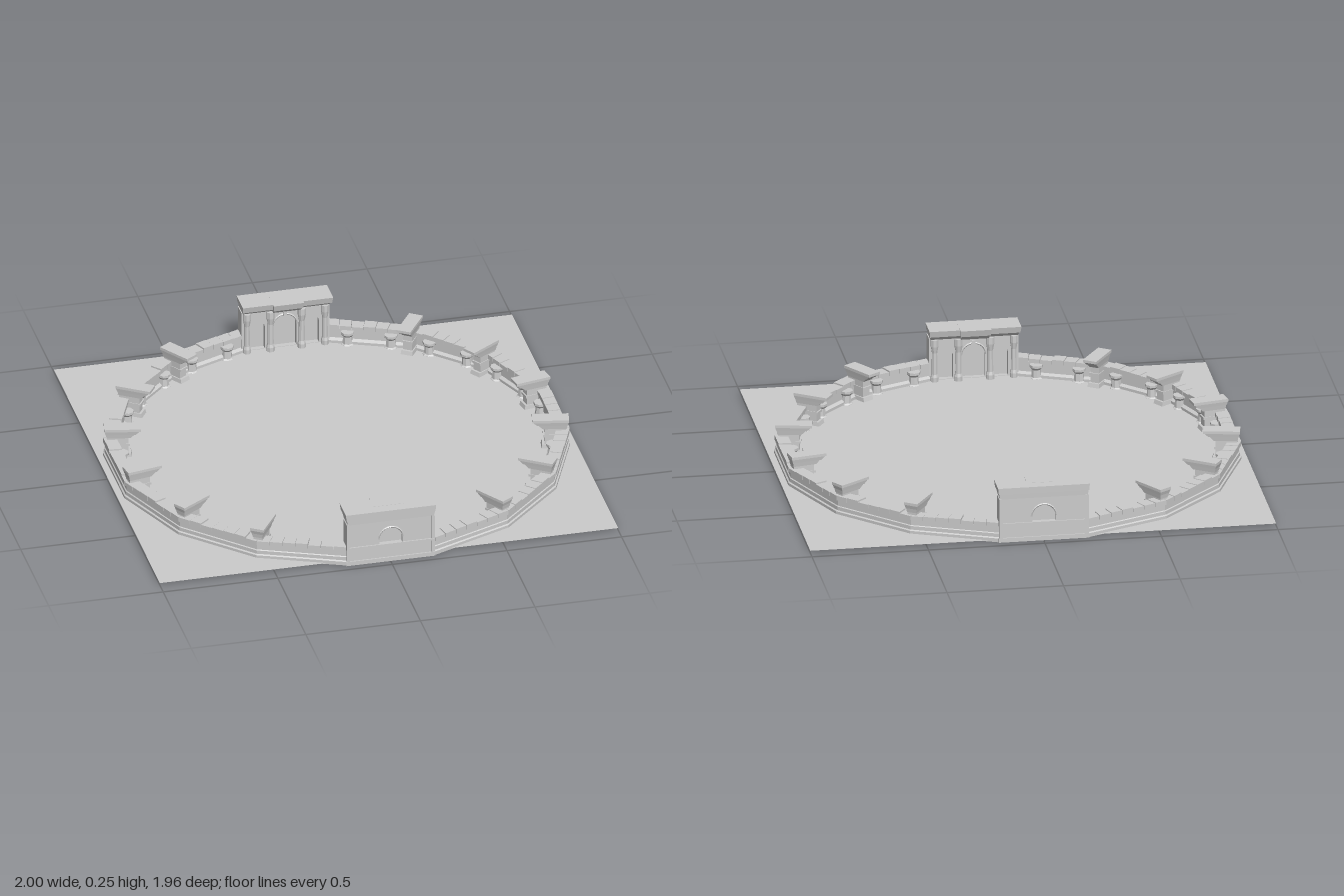
import * as THREE from 'three';

const stone = new THREE.MeshStandardMaterial({ color: 0xcccccc, flatShading: true });
const floorMat = new THREE.MeshStandardMaterial({ color: 0xcccccc, side: THREE.DoubleSide });
const STEP = Math.PI / 8;            // the ring has sixteen sides
const SLOPE = 2 * Math.tan(STEP / 2); // side length per unit of apothem

function add(parent, name, geometry, x = 0, y = 0, z = 0) {
  const mesh = new THREE.Mesh(geometry, stone);
  mesh.name = name;
  mesh.position.set(x, y, z);
  parent.add(mesh);
  return mesh;
}

function group(parent, name, angle = 0) {
  const g = new THREE.Group();
  g.name = name;
  g.rotation.y = angle;
  parent.add(g);
  return g;
}

// Block whose bottom and top rectangles differ: [width, zInner, zOuter]
function block(parent, name, y0, y1, bottom, top = bottom, x = 0) {
  const geo = new THREE.BoxGeometry(1, 1, 1);
  const p = geo.attributes.position;
  for (let i = 0; i < p.count; i++) {
    const up = p.getY(i) > 0;
    const [w, zi, zo] = up ? top : bottom;
    p.setXYZ(i, p.getX(i) * w, up ? y1 : y0, p.getZ(i) > 0 ? zo : zi);
  }
  geo.computeVertexNormals();
  return add(parent, name, geo, x);
}

// Cross-section [apothem, y] swept along one side of the ring with mitred ends
function sweep(parent, name, profile, t0 = -0.5, t1 = 0.5) {
  const shape = new THREE.Shape(profile.map(([r, y]) => new THREE.Vector2(r, y)));
  const geo = new THREE.ExtrudeGeometry(shape, { depth: t1 - t0, bevelEnabled: false });
  const p = geo.attributes.position;
  for (let i = 0; i < p.count; i++) {
    const r = p.getX(i);
    p.setXYZ(i, -(p.getZ(i) + t0) * r * SLOPE, p.getY(i), r);
  }
  geo.computeVertexNormals();
  add(parent, name, geo);
}

// Octagonal column with a plinth and flared capital
function column(parent, name, x, z, r, height) {
  const profile = [[0, 0], [1.3, 0], [1.3, 0.15], [1, 0.22], [0.9, 0.7], [1.3, 0.85], [1.3, 1], [0, 1]];
  const geo = new THREE.LatheGeometry(profile.map(([a, b]) => new THREE.Vector2(a * r, b * height)), 8);
  geo.rotateY(STEP);
  add(parent, name, geo, x, 0, z);
}

function arch(x, width, bottom, top) {
  const r = width / 2;
  const path = new THREE.Path();
  path.moveTo(x - r, bottom);
  path.lineTo(x + r, bottom);
  path.lineTo(x + r, top - r);
  path.absarc(x, top - r, r, 0, Math.PI, false);
  path.closePath();
  return path;
}

// Upright panel pierced by arches
function panel(parent, name, z0, z1, holes) {
  const s = new THREE.Shape();
  s.moveTo(-0.185, 0.01);
  s.lineTo(0.185, 0.01);
  s.lineTo(0.185, 0.2);
  s.lineTo(-0.185, 0.2);
  s.holes.push(...holes);
  const geo = new THREE.ExtrudeGeometry(s, { depth: z1 - z0, bevelEnabled: false, curveSegments: 10 });
  add(parent, name, geo, 0, 0, z0);
}

function wallSide(parent, k, columns) {
  const g = group(parent, 'wallSide', k * STEP);
  // stepped base and body
  sweep(g, 'wallBody', [[0.908, 0.005], [0.972, 0.005], [0.972, 0.022], [0.966, 0.026], [0.966, 0.042],
    [0.962, 0.045], [0.962, 0.072], [0.922, 0.072], [0.922, 0.03], [0.908, 0.022]]);
  // coping stones of slightly uneven height
  for (let i = 0; i < 7; i++) {
    const top = 0.089 + 0.0018 * ((i * 3 + k * 2) % 4);
    sweep(g, 'copingStone', [[0.916, 0.072], [0.971, 0.072], [0.971, top], [0.916, top]],
      i / 7 - 0.5 + 0.003, (i + 1) / 7 - 0.5 - 0.003);
  }
  if (columns) for (const x of [-0.093, 0.093]) column(g, 'wallColumn', x, 0.912, 0.022, 0.07);
}

function pier(parent, k) {
  const g = group(parent, 'pier', (k + 0.5) * STEP);
  block(g, 'pierPlinth', 0, 0.028, [0.056, 0.865, 0.978], [0.05, 0.872, 0.976]);
  block(g, 'pierShaft', 0.028, 0.1, [0.04, 0.882, 0.974]);
  block(g, 'pierBand', 0.062, 0.072, [0.046, 0.876, 0.976]);
  block(g, 'pierCorbel', 0.1, 0.118, [0.044, 0.875, 0.976], [0.05, 0.857, 0.979]);
  block(g, 'pierCornice', 0.118, 0.134, [0.052, 0.852, 0.98], [0.058, 0.835, 0.985]);
  block(g, 'pierCap', 0.134, 0.146, [0.062, 0.83, 0.986]);
}

function gate(parent, angle) {
  const g = group(parent, 'gate', angle);
  // arcade toward the arena, closed core, arched outer face
  panel(g, 'innerArcade', 0.918, 0.94, [arch(0, 0.1, 0.012, 0.165),
    arch(-0.118, 0.06, 0.012, 0.145), arch(0.118, 0.06, 0.012, 0.145)]);
  panel(g, 'gateCore', 0.94, 0.955, []);
  panel(g, 'outerFace', 0.955, 0.972, [arch(0, 0.1, 0.09, 0.165)]);
  for (const z of [0.918, 0.972]) {
    const ring = new THREE.TorusGeometry(0.053, 0.004, 4, 12, Math.PI);
    add(g, 'archMoulding', ring, 0, 0.115, z);
  }
  add(g, 'keystone', new THREE.BoxGeometry(0.014, 0.02, 0.012), 0, 0.171, 0.916);
  for (const s of [-1, 1]) {
    block(g, 'gateSide', 0.005, 0.2, [0.016, 0.912, 0.976], undefined, s * 0.184);
    column(g, 'gateColumn', s * 0.068, 0.898, 0.014, 0.2);
    column(g, 'gateColumn', s * 0.17, 0.902, 0.013, 0.2);
  }
  // plinth and cornice, stepping forward over the middle arch
  block(g, 'gateCornice', 0.2, 0.222, [0.376, 0.9, 0.975], [0.384, 0.88, 0.976]);
  block(g, 'gateCap', 0.222, 0.25, [0.388, 0.87, 0.976], [0.394, 0.863, 0.977]);
  block(g, 'middleCornice', 0.2, 0.222, [0.12, 0.882, 0.93], [0.126, 0.862, 0.93]);
  block(g, 'middleCap', 0.222, 0.251, [0.128, 0.855, 0.93], [0.132, 0.847, 0.93]);
  block(g, 'outerLedge', 0.082, 0.09, [0.384, 0.95, 0.978]);
  block(g, 'outerPlinth', 0.005, 0.024, [0.388, 0.95, 0.978]);
}

export function createModel() {
  const model = new THREE.Group();
  model.name = 'arena';

  const ground = new THREE.Mesh(new THREE.PlaneGeometry(2, 1.895), floorMat);
  ground.name = 'ground';
  ground.rotation.x = -Math.PI / 2;
  ground.position.set(0, 0.01, -0.0075);
  model.add(ground);

  // gates take sides 0 and 8; piers stand at every corner not touching a gate
  for (let k = 0; k < 16; k++) {
    if (k % 8 === 0) gate(model, k * STEP);
    else wallSide(model, k, true);
    if (k % 8 !== 0 && k % 8 !== 7) pier(model, k);
  }
  return model;
}
